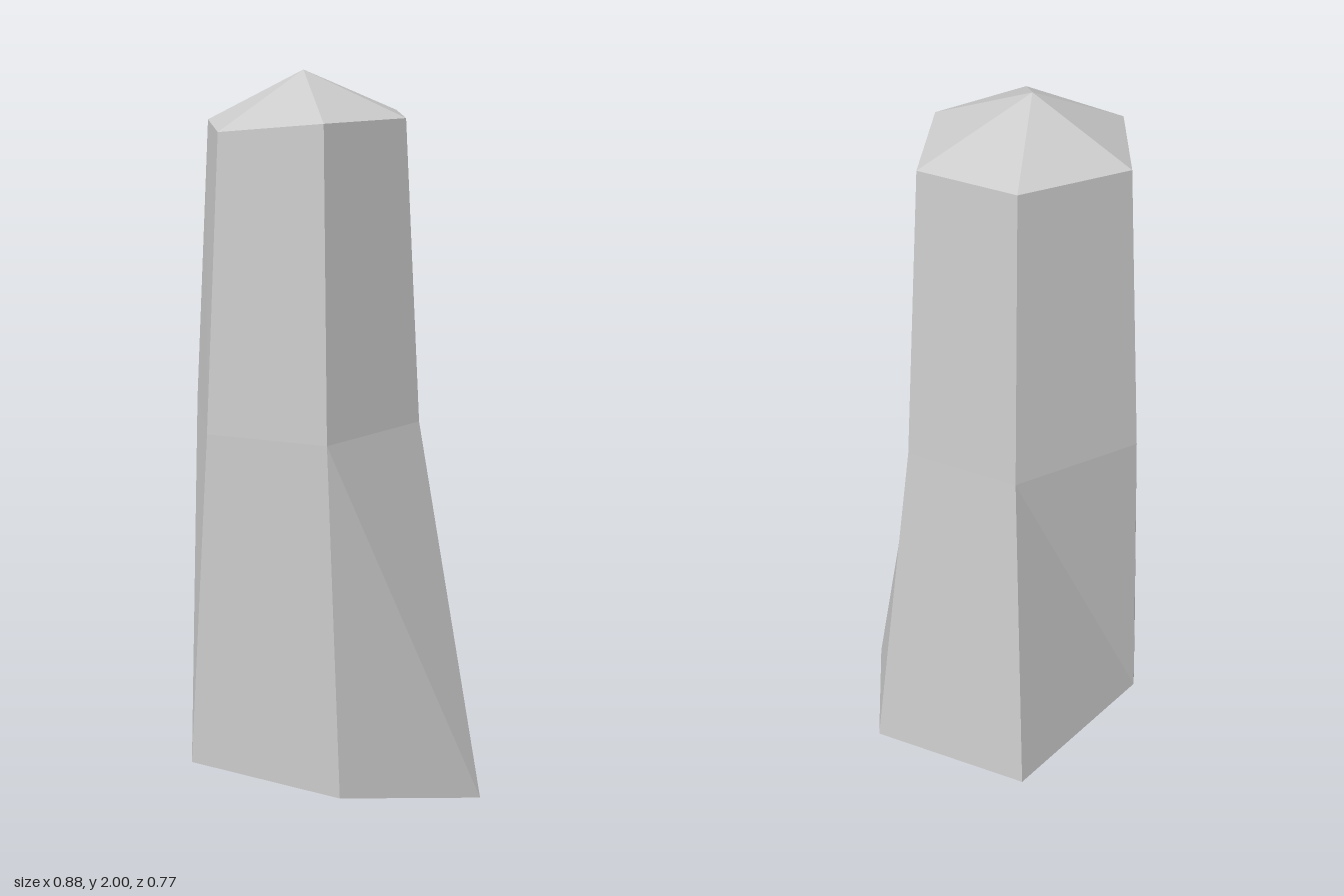
import * as THREE from 'three';

// Six-cornered rings, ordered right, front right, front left, left, back left, back right
const baseRing = [[0.435, 0, 0.065], [0.13, 0.1, 0.385], [-0.31, 0.13, 0.375],
  [-0.44, 0.21, 0.07], [-0.3, 0.13, -0.375], [0.165, 0.12, -0.385]];
const middleRing = [[0.24, 1.08, 0.06], [0.09, 1.08, 0.37], [-0.245, 1.08, 0.37],
  [-0.43, 1.08, 0.02], [-0.235, 1.08, -0.305], [0.085, 1.08, -0.305]];
const shoulderRing = [[0.195, 1.885, 0.06], [0.065, 1.89, 0.32], [-0.22, 1.86, 0.32],
  [-0.38, 1.86, 0.02], [-0.21, 1.87, -0.26], [0.065, 1.875, -0.26]];
const tipPoint = [-0.095, 2, 0.04];
const basePoint = [-0.095, 0.01, 0.04];

const next = (ring, i) => ring[(i + 1) % ring.length];

// Two triangles per side between a lower and an upper ring
const band = (lower, upper) => lower.flatMap((p, i) => [
  next(lower, i), p, next(upper, i),
  p, upper[i], next(upper, i),
]);

// Triangles from a ring to a single point above or below it
const fan = (ring, point, up) => ring.flatMap((p, i) =>
  up ? [p, point, next(ring, i)] : [next(ring, i), point, p]);

function facetMesh(name, corners, material) {
  const geometry = new THREE.BufferGeometry();
  geometry.setAttribute('position', new THREE.Float32BufferAttribute(corners.flat(), 3));
  geometry.computeVertexNormals();
  const mesh = new THREE.Mesh(geometry, material);
  mesh.name = name;
  return mesh;
}

export function createModel() {
  const group = new THREE.Group();
  group.name = 'stonePillar';
  const material = new THREE.MeshStandardMaterial({ color: 0xcccccc, flatShading: true });

  group.add(
    // Flared lower half and tapering upper half
    facetMesh('lowerShaft', band(baseRing, middleRing), material),
    facetMesh('upperShaft', band(middleRing, shoulderRing), material),
    // Low pyramid on top and uneven underside
    facetMesh('tip', fan(shoulderRing, tipPoint, true), material),
    facetMesh('underside', fan(baseRing, basePoint, false), material),
  );
  return group;
}
